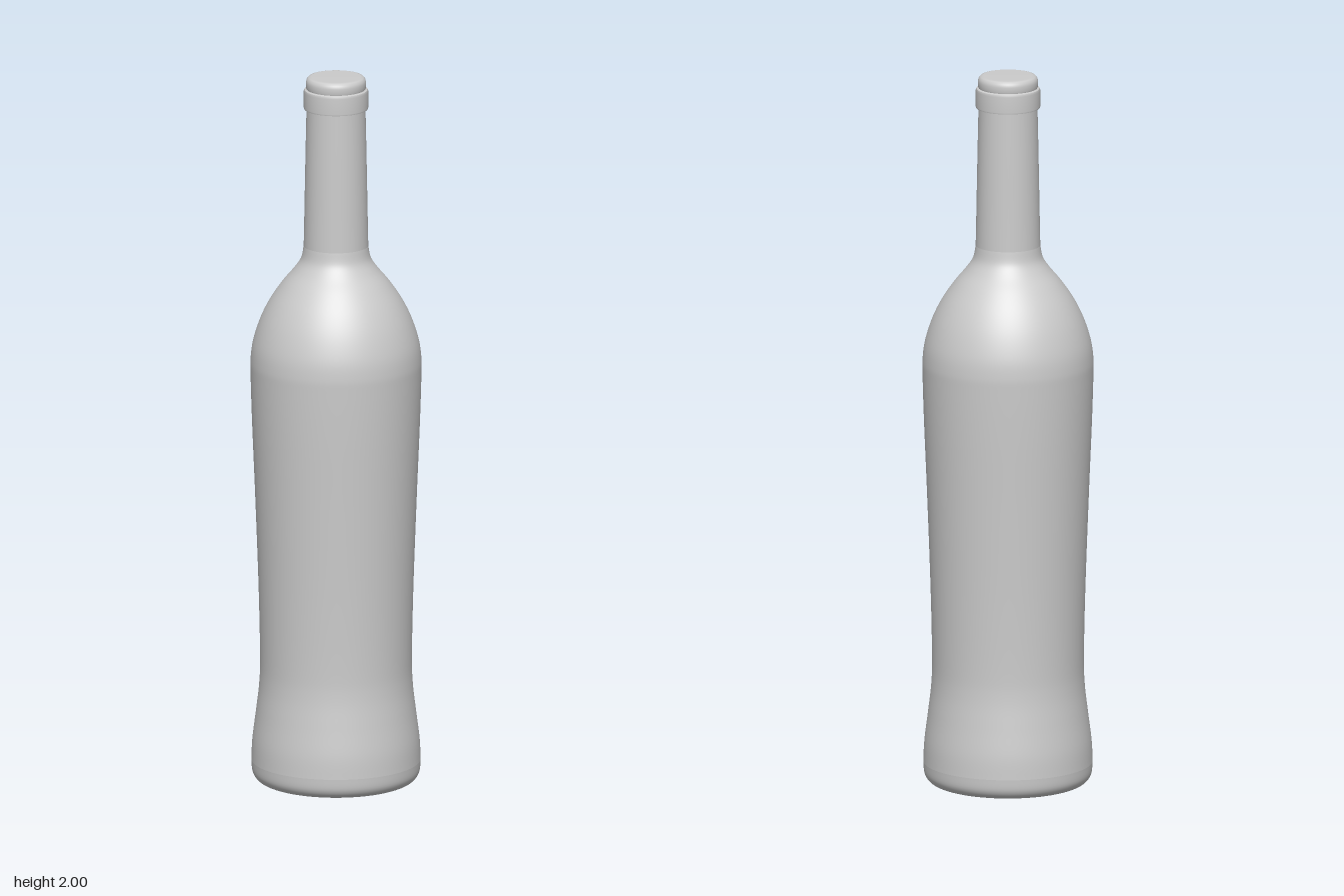
import * as THREE from 'three';

const material = new THREE.MeshStandardMaterial({ color: 0xcccccc });

// Revolve a profile of [radius, height] pairs, optionally smoothed by a spline
function turned(name, profile, samples = 0) {
  let points = profile.map(([r, y]) => new THREE.Vector2(r, y));
  if (samples) points = new THREE.SplineCurve(points).getPoints(samples);
  points.forEach((p) => { p.x = Math.max(p.x, 0); });
  const mesh = new THREE.Mesh(new THREE.LatheGeometry(points, 96), material);
  mesh.name = name;
  return mesh;
}

export function createModel() {
  const bottle = new THREE.Group();
  bottle.name = 'bottle';

  // Hollow under the base, running out to the standing ring and rounded heel
  bottle.add(turned('base', [
    [0, 0.14], [0.04, 0.133], [0.08, 0.105], [0.11, 0.06], [0.135, 0.02],
    [0.165, 0.002], [0.195, 0], [0.217, 0.008], [0.23, 0.028], [0.233, 0.06],
  ], 48));

  // Flared foot, waist and widening body up to the shoulder
  bottle.add(turned('body', [
    [0.233, 0.06], [0.23, 0.12], [0.22, 0.2], [0.211, 0.28], [0.209, 0.36],
    [0.213, 0.55], [0.222, 0.8], [0.231, 1.02], [0.235, 1.15], [0.235, 1.2],
    [0.228, 1.25], [0.209, 1.31], [0.182, 1.365], [0.148, 1.415],
    [0.115, 1.455], [0.096, 1.485], [0.089, 1.52],
  ], 96));

  // Slightly tapering neck
  bottle.add(turned('neck', [[0.089, 1.52], [0.087, 1.62], [0.084, 1.78], [0.081, 1.92]], 16));

  // Collar band: sharp ledges with a plain outer wall
  bottle.add(turned('collarUnderside', [[0.078, 1.91], [0.088, 1.91]]));
  bottle.add(turned('collar', [[0.088, 1.91], [0.089, 1.914], [0.089, 1.958], [0.087, 1.964]]));
  bottle.add(turned('collarTop', [[0.087, 1.964], [0.08, 1.967]]));

  // Closed top with a rounded rim
  bottle.add(turned('cap', [
    [0.08, 1.963], [0.083, 1.97], [0.083, 1.984], [0.081, 1.992],
    [0.076, 1.998], [0.068, 2], [0, 2],
  ]));

  return bottle;
}
